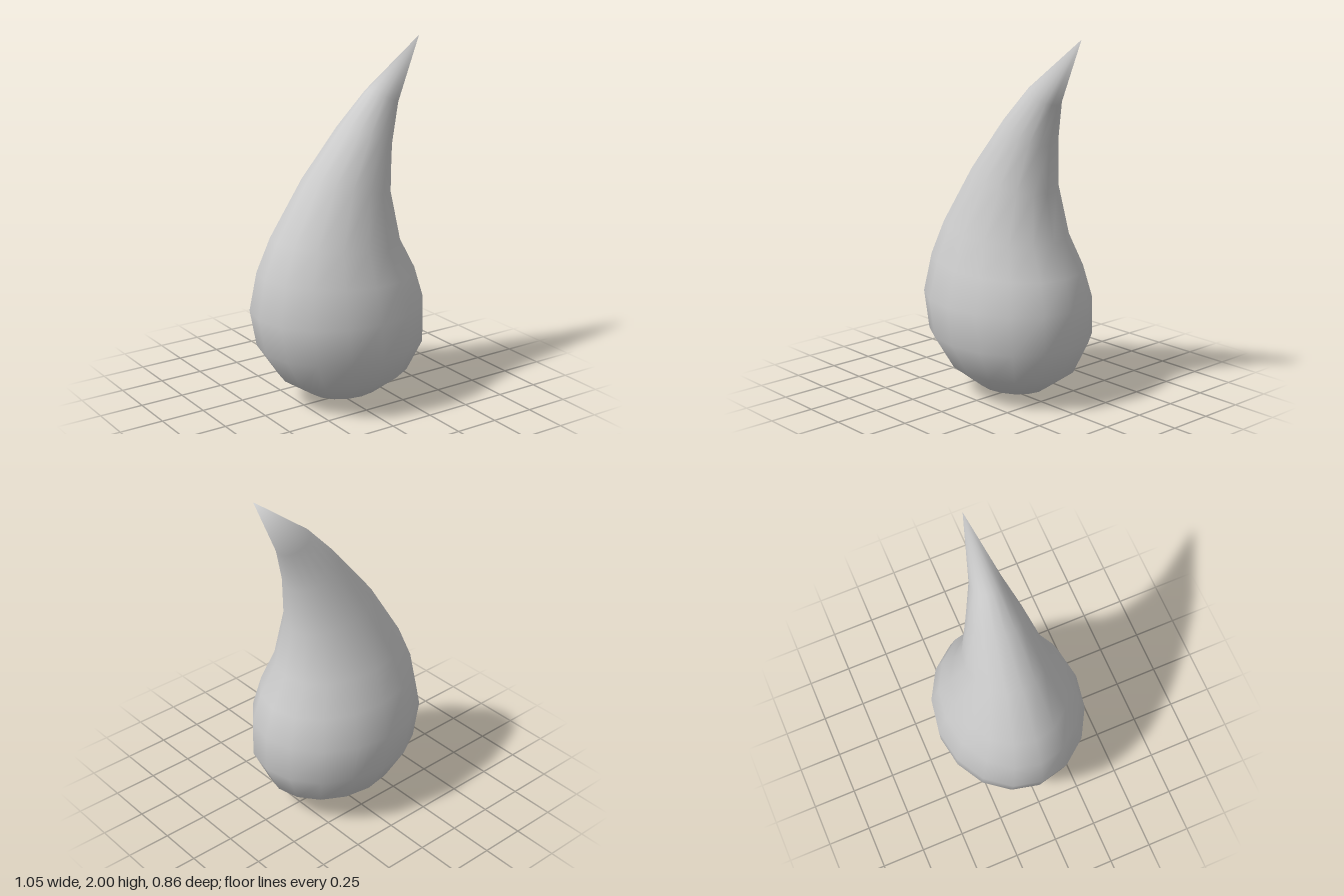
import * as THREE from 'three';

const SIDES = 16;

// Tilted elliptical rings, bottom to top: left x, left y, right x, right y, half depth
const RINGS = [
  [-0.19, 0.05, 0.23, 0.05, 0.175],
  [-0.37, 0.17, 0.40, 0.17, 0.325],
  [-0.49, 0.35, 0.485, 0.35, 0.42],
  [-0.53, 0.56, 0.48, 0.56, 0.43],
  [-0.49, 0.78, 0.43, 0.73, 0.38],
  [-0.41, 0.97, 0.34, 0.90, 0.315],
  [-0.22, 1.28, 0.29, 1.17, 0.22],
  [0.0, 1.55, 0.305, 1.43, 0.15],
  [0.17, 1.73, 0.36, 1.65, 0.085],
];
const BOTTOM = [0.02, 0, 0];
const TIP = [0.52, 2, -0.01];

function dropGeometry() {
  const positions = [];
  const index = [];
  for (const [lx, ly, rx, ry, depth] of RINGS) {
    for (let j = 0; j < SIDES; j++) {
      const a = (j / SIDES) * Math.PI * 2;
      const t = (1 + Math.cos(a)) / 2;
      positions.push(lx + (rx - lx) * t, ly + (ry - ly) * t, depth * Math.sin(a));
    }
  }
  const bottom = RINGS.length * SIDES;
  const tip = bottom + 1;
  positions.push(...BOTTOM, ...TIP);

  const last = (RINGS.length - 1) * SIDES;
  for (let j = 0; j < SIDES; j++) {
    const k = (j + 1) % SIDES;
    // Closing fans at the base and the tip
    index.push(bottom, j, k, last + j, tip, last + k);
    // Walls between neighbouring rings
    for (let base = 0; base < last; base += SIDES) {
      const a = base + j, b = base + k, c = a + SIDES, d = b + SIDES;
      index.push(a, c, b, b, c, d);
    }
  }
  const geometry = new THREE.BufferGeometry();
  geometry.setAttribute('position', new THREE.Float32BufferAttribute(positions, 3));
  geometry.setIndex(index);
  geometry.computeVertexNormals();
  return geometry;
}

export function createModel() {
  const group = new THREE.Group();
  group.name = 'curvedDrop';
  // Rounded body sweeping up into a bent point
  const body = new THREE.Mesh(dropGeometry(), new THREE.MeshStandardMaterial({ color: 0xcccccc }));
  body.name = 'dropBody';
  group.add(body);
  return group;
}
